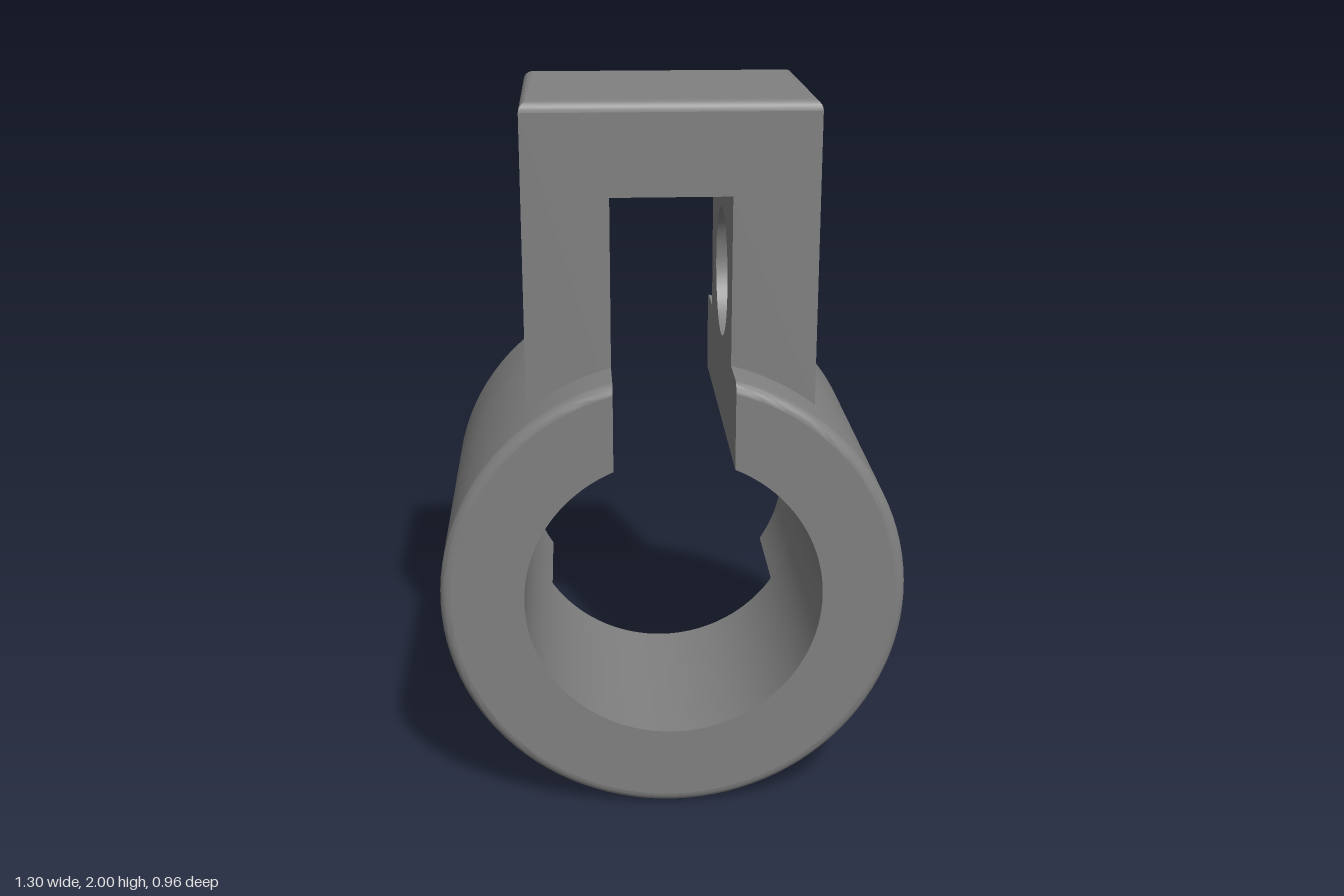
import * as THREE from 'three';
import { toCreasedNormals } from 'three/addons/utils/BufferGeometryUtils.js';

const R = 0.648, r = 0.415, CY = 0.648;        // collar radii and centre height
const SLOT = 0.165, SLOT_TOP = 1.745;          // slot half width and ceiling
const W = 0.4, D = 0.32, BASE = 1.155, TOP = 2; // lug block
const PIN_Y = 1.462, PIN_R = 0.186;            // cross hole
const HALF = 0.478, STEP = -0.15, CUT = 0.42, BEVEL = 0.03;

// Skin a list of closed sections (arrays of Vector3 with equal counts)
function loft(sections) {
  const n = sections[0].length, index = [];
  for (let s = 0; s < sections.length - 1; s++) {
    for (let i = 0; i < n; i++) {
      const a = s * n + i, b = s * n + (i + 1) % n;
      index.push(a, b, a + n, b, b + n, a + n);
    }
  }
  const g = new THREE.BufferGeometry().setFromPoints(sections.flat());
  g.setIndex(index);
  return toCreasedNormals(g, 0.6);
}

// Closed outline of a collar sector, running clockwise along the outer arc
function sector(outer, startOf, endOf, steps) {
  const arc = (rad) => Array.from({ length: steps + 1 }, (_, i) => {
    const a = THREE.MathUtils.lerp(startOf(rad), endOf(rad), i / steps);
    return new THREE.Vector2(rad * Math.cos(a), CY + rad * Math.sin(a));
  });
  return [...arc(outer), ...arc(r).reverse()];
}
const slotAngle = (q) => Math.acos(SLOT / q);
const cutAngle = (q) => Math.asin((CUT - CY) / q);
const fullRing = (q) => sector(q, slotAngle, (k) => -Math.PI - slotAngle(k), 96);
const lowerRing = (q) => sector(q, cutAngle, (k) => -Math.PI - cutAngle(k), 64);
const rightJaw = (q) => sector(q, slotAngle, cutAngle, 40);
const leftJaw = (q) => rightJaw(q).map((p) => new THREE.Vector2(-p.x, p.y)).reverse();

const at = (points, z) => points.map((p) => new THREE.Vector3(p.x, p.y, z));
const face = (points) => new THREE.ShapeGeometry(new THREE.Shape(points));
// Quarter round steps: [inset, distance below the rounded face]
const round = Array.from({ length: 7 }, (_, i) => {
  const a = (i / 6) * Math.PI / 2;
  return [BEVEL * (1 - Math.sin(a)), BEVEL * (1 - Math.cos(a))];
});

export function createModel() {
  const model = new THREE.Group();
  const grey = new THREE.MeshStandardMaterial({ color: 0x808080, side: THREE.DoubleSide });
  grey.name = 'grey';
  const add = (name, geometry, parent = model) => {
    const mesh = new THREE.Mesh(geometry, grey);
    mesh.name = name;
    parent.add(mesh);
    return mesh;
  };

  // Collar: full slotted ring in front
  const collar = new THREE.Group();
  collar.name = 'collar';
  model.add(collar);
  const frontSections = round.map(([inset, depth]) => at(fullRing(R - inset), HALF - depth));
  frontSections.push(at(fullRing(R), STEP));
  add('frontRing', loft(frontSections), collar);
  add('frontRingFace', face(fullRing(R - BEVEL)), collar).position.z = HALF;
  const shelf = add('lowerStepFace', face(lowerRing(R)), collar);
  shelf.rotation.y = Math.PI;
  shelf.position.z = STEP;

  // Collar: two jaws behind the step
  for (const [name, outline] of [['leftJaw', rightJaw], ['rightJaw', leftJaw]]) {
    const sections = [at(outline(R), STEP)];
    for (const [inset, depth] of [...round].reverse()) {
      sections.push(at(outline(R - inset), -HALF + depth));
    }
    add(name, loft(sections), collar);
    const end = add(name + 'Face', face(outline(R - BEVEL)), collar);
    end.rotation.y = Math.PI;
    end.position.z = -HALF;
  }

  // Lug block: arch shaped front and back walls
  const lug = new THREE.Group();
  lug.name = 'lug';
  model.add(lug);
  const arch = [[W, BASE], [W, TOP - BEVEL], [-W, TOP - BEVEL], [-W, BASE],
    [-SLOT, BASE], [-SLOT, SLOT_TOP], [SLOT, SLOT_TOP], [SLOT, BASE]]
    .map(([x, y]) => new THREE.Vector2(x, y));
  for (const s of [1, -1]) {
    const wall = add(s > 0 ? 'lugFront' : 'lugBack', face(arch), lug);
    wall.position.z = s * D;
    if (s < 0) wall.rotation.y = Math.PI;
  }

  // Side walls pierced by the cross hole
  const pierced = (bottom, top) => {
    const shape = new THREE.Shape([[-D, bottom], [D, bottom], [D, top], [-D, top]]
      .map(([x, y]) => new THREE.Vector2(x, y)));
    shape.holes.push(new THREE.Path().absarc(0, PIN_Y, PIN_R, 0, Math.PI * 2, true));
    return new THREE.ShapeGeometry(shape, 48);
  };
  for (const s of [1, -1]) {
    const side = s > 0 ? 'left' : 'right';
    const outer = add(side + 'LugSide', pierced(BASE, TOP - BEVEL), lug);
    outer.position.x = s * W;
    outer.rotation.y = s * Math.PI / 2;
    const inner = add(side + 'SlotWall', pierced(1.268, SLOT_TOP), lug);
    inner.position.x = s * SLOT;
    inner.rotation.y = -s * Math.PI / 2;
    const bore = add(side + 'PinHole',
      new THREE.CylinderGeometry(PIN_R, PIN_R, W - SLOT, 48, 1, true), lug);
    bore.rotation.z = Math.PI / 2;
    bore.position.set(s * (W + SLOT) / 2, PIN_Y, 0);
  }

  // Slot ceiling
  const ceiling = add('slotCeiling', new THREE.PlaneGeometry(SLOT * 2, D * 2), lug);
  ceiling.rotation.x = Math.PI / 2;
  ceiling.position.y = SLOT_TOP;

  // Rounded rim and flat top
  const rim = [...round].reverse().map(([inset, depth]) =>
    [[1, 1], [1, -1], [-1, -1], [-1, 1]].map(([x, z]) =>
      new THREE.Vector3(x * (W - inset), TOP - depth, z * (D - inset))));
  add('lugRim', loft(rim), lug);
  const top = add('lugTop', new THREE.PlaneGeometry((W - BEVEL) * 2, (D - BEVEL) * 2), lug);
  top.rotation.x = -Math.PI / 2;
  top.position.y = TOP;

  return model;
}
